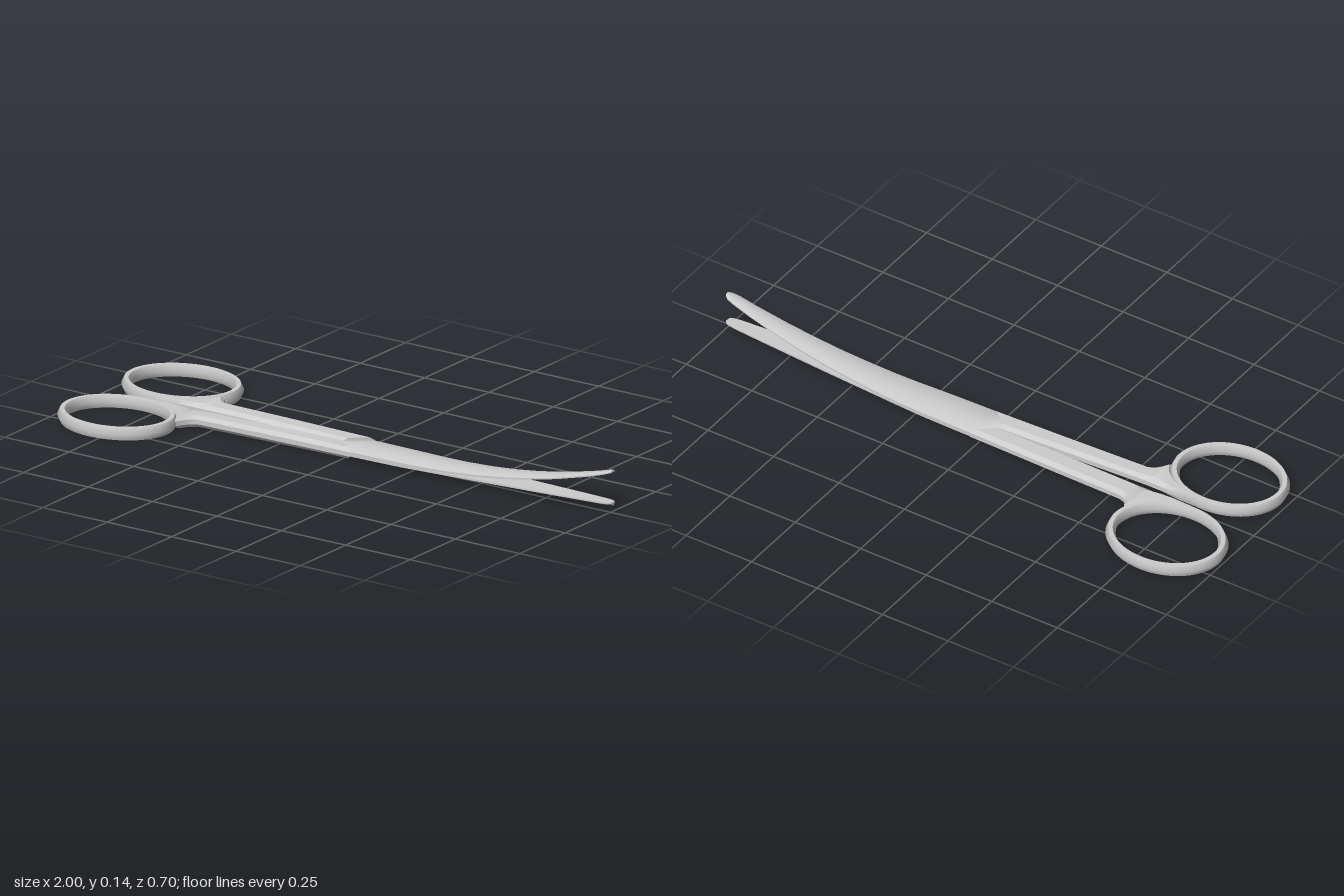
import * as THREE from 'three';
import { toCreasedNormals } from 'three/addons/utils/BufferGeometryUtils.js';

const material = new THREE.MeshStandardMaterial({ color: 0xcccccc });

// Unit cross-sections (across, up), counter-clockwise
const SHANK = [[0.18, 0], [0.82, 0], [1, 0.3], [1, 0.7], [0.82, 1], [0.18, 1], [0, 0.7], [0, 0.3]];
const DOMED_UP = [[0, 0], [1, 0], [1, 0.4], [0.8, 0.82], [0.5, 1], [0.2, 0.82], [0, 0.4]];
const DOMED_DOWN = DOMED_UP.map(([u, v]) => [u, 1 - v]).reverse();

// Loft a cross-section through stations [x, z0, z1, y0, y1, shear];
// shear offsets x on the z1 side for slanted ends
function loft(name, profile, stations) {
  const n = profile.length, positions = [], index = [];
  for (const [x, z0, z1, y0, y1, shear = 0] of stations) {
    for (const [u, v] of profile) {
      positions.push(x + shear * u, y0 + (y1 - y0) * v, z0 + (z1 - z0) * u);
    }
  }
  for (let k = 0; k < stations.length - 1; k++) {
    for (let i = 0; i < n; i++) {
      const a = k * n + i, b = k * n + (i + 1) % n;
      index.push(a, a + n, b + n, a, b + n, b);
    }
  }
  const last = (stations.length - 1) * n;
  for (let i = 1; i < n - 1; i++) {
    index.push(0, i, i + 1, last, last + i + 1, last + i);
  }
  const geometry = new THREE.BufferGeometry();
  geometry.setAttribute('position', new THREE.Float32BufferAttribute(positions, 3));
  geometry.setIndex(index);
  const mesh = new THREE.Mesh(toCreasedNormals(geometry, 0.55), material);
  mesh.name = name;
  return mesh;
}

// Oval finger ring with a hexagonal rim
function fingerRing(name, x, z, radius) {
  const outer = radius, inner = radius - 0.035;
  const rim = [
    [outer - 0.01, 0.003], [outer, 0.024], [outer - 0.01, 0.045],
    [inner + 0.01, 0.045], [inner, 0.024], [inner + 0.01, 0.003], [outer - 0.01, 0.003],
  ].map(([r, y]) => new THREE.Vector2(r, y));
  const geometry = new THREE.LatheGeometry(rim, 64);
  geometry.scale(1, 1, 0.815);
  const mesh = new THREE.Mesh(toCreasedNormals(geometry, 0.9), material);
  mesh.position.set(x, 0, z);
  mesh.name = name;
  return mesh;
}

// Flare joining ring and shank: [x, outer distance, inner distance from the mid line]
const FLARE = [
  [-0.78, 0.042, 0.022], [-0.70, 0.05, 0.018], [-0.66, 0.07, 0.017], [-0.62, 0.108, 0.017],
  [-0.598, 0.145, 0.017], [-0.587, 0.122, 0.017], [-0.572, 0.1, 0.017],
];

// Shared blade plan: [x, z0, z1]
const PLAN = [
  [0.03, -0.081, 0.059], [0.12, -0.08, 0.057], [0.22, -0.078, 0.054], [0.32, -0.074, 0.049],
  [0.4, -0.07, 0.045], [0.5, -0.065, 0.04], [0.6, -0.06, 0.034], [0.7, -0.054, 0.028],
  [0.8, -0.048, 0.021], [0.9, -0.042, 0.013], [0.965, -0.037, 0.008],
  [0.988, -0.033, 0.003], [1.0, -0.024, -0.006],
];

// Height of the blades' undersides along x
const rise = (x) => Math.max(0, (x - 0.22) / 0.78);
const upperBase = (x) => 0.024 + 0.109 * Math.pow(rise(x), 2.2);
const lowerBase = (x) => 0.007 + 0.015 * rise(x);

export function createModel() {
  const group = new THREE.Group();
  group.name = 'curvedScissors';

  // Rear half: ring and shank, running into the lower blade
  const rearHalf = new THREE.Group();
  rearHalf.name = 'rearHalf';
  rearHalf.add(
    fingerRing('rearRing', -0.793, -0.187, 0.207),
    loft('rearShank', SHANK, [
      ...FLARE.map(([x, out, inn]) => [x, -out, -inn, 0.005, 0.045]),
      [-0.55, -0.092, -0.017, 0.006, 0.045],
      [-0.3, -0.088, -0.014, 0.005, 0.045],
      [-0.1, -0.084, -0.012, 0.005, 0.044],
      [0.03, -0.082, -0.01, 0.005, 0.044, -0.08],
    ]),
    loft('lowerBlade', DOMED_DOWN, [
      [-0.05, -0.083, -0.011, 0.006, 0.024],
      ...PLAN.map(([x, z0, z1]) => [x, z0, z1, lowerBase(x), lowerBase(x) + 0.017 - 0.006 * rise(x)]),
    ]),
  );

  // Front half: ring and shank, running into the upper blade
  const frontHalf = new THREE.Group();
  frontHalf.name = 'frontHalf';
  frontHalf.add(
    fingerRing('frontRing', -0.787, 0.181, 0.203),
    loft('frontShank', SHANK, [
      ...FLARE.map(([x, out, inn]) => [x, inn, out - 0.008, 0.005, 0.045]),
      [-0.55, 0.016, 0.079, 0.006, 0.045],
      [-0.3, 0.003, 0.069, 0.005, 0.045],
      [-0.1, -0.007, 0.063, 0.005, 0.044],
      [-0.05, -0.009, 0.06, 0.005, 0.043, 0.08],
    ]),
    loft('upperBlade', DOMED_UP, [
      [-0.05, -0.009, 0.061, 0.024, 0.044],
      ...PLAN.map(([x, z0, z1]) => [x, z0, z1, upperBase(x), upperBase(x) + 0.02 - 0.011 * rise(x)]),
    ]),
  );

  // Pivot pin, just proud of the underside
  const pivot = new THREE.Mesh(new THREE.CylinderGeometry(0.018, 0.015, 0.026, 24), material);
  pivot.name = 'pivotPin';
  pivot.position.set(0.2, 0.018, -0.012);

  group.add(rearHalf, frontHalf, pivot);
  return group;
}
